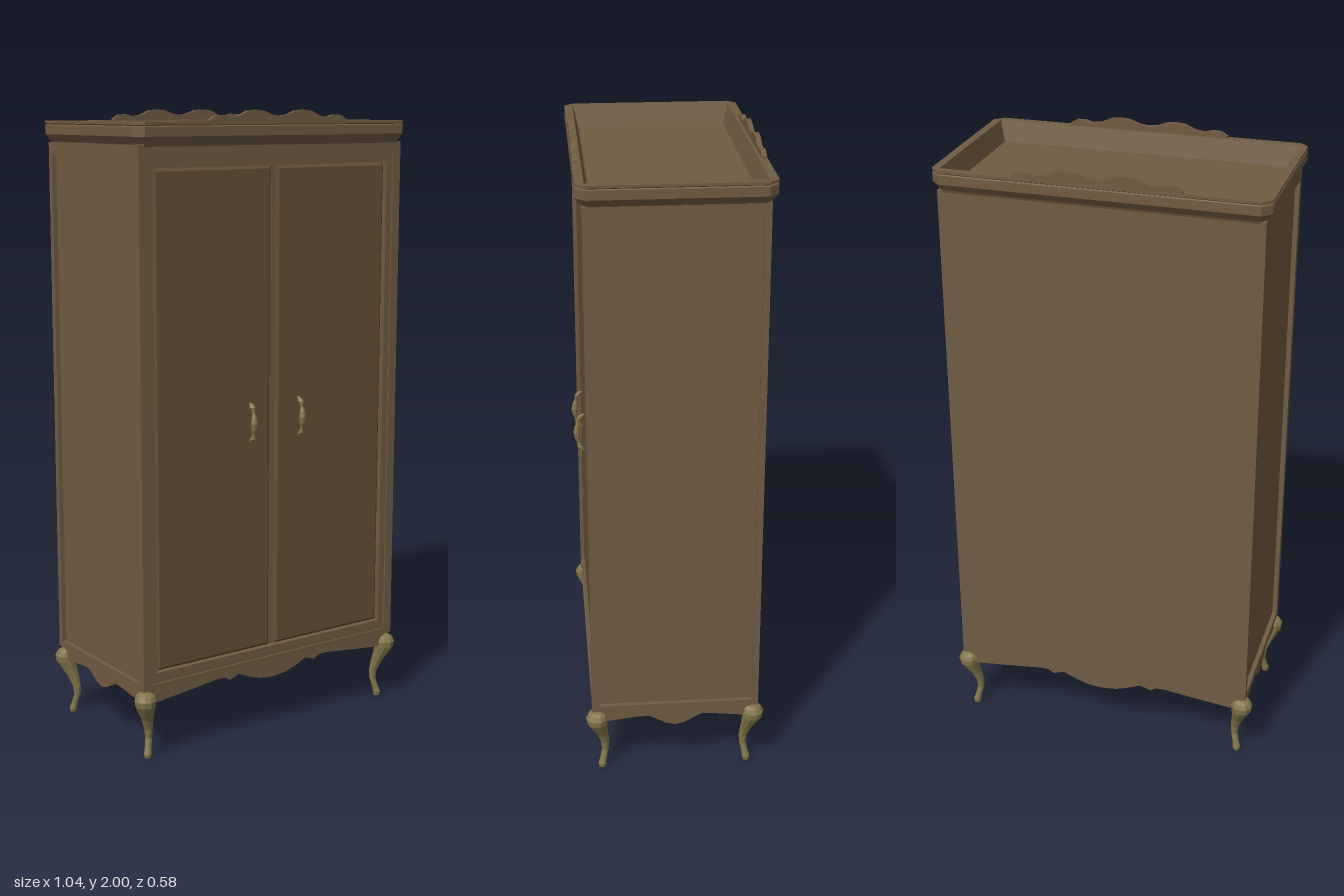
import * as THREE from 'three';

const mat = (color, extra = {}) => new THREE.MeshStandardMaterial({ color, flatShading: true, ...extra });
const wood = mat(0x705b42);
const doorWood = mat(0x645039);
const brass = mat(0x82754a);

function add(parent, name, geometry, material) {
  const mesh = new THREE.Mesh(geometry, material);
  mesh.name = name;
  parent.add(mesh);
  return mesh;
}

// Skin a list of rings; each ring runs from +x towards +z, rings go upwards
function loft(rings) {
  const n = rings[0].length, index = [];
  for (let i = 0; i < rings.length - 1; i++) {
    for (let j = 0; j < n; j++) {
      const a = i * n + j, b = i * n + (j + 1) % n;
      index.push(a, a + n, b, b, a + n, b + n);
    }
  }
  const g = new THREE.BufferGeometry();
  g.setAttribute('position', new THREE.Float32BufferAttribute(rings.flat(2), 3));
  g.setIndex(index);
  g.computeVertexNormals();
  return g;
}

// Round ring centred on (x, y, z)
function circle(x, y, z, r, sides = 8) {
  return Array.from({ length: sides }, (_, i) => {
    const t = (i + 0.5) / sides * Math.PI * 2;
    return [x + Math.cos(t) * r, y, z + Math.sin(t) * r];
  });
}

// Rectangle ring with cut corners
function cutRect(hx, hz, c, y) {
  return [[hx, -hz + c], [hx, hz - c], [hx - c, hz], [c - hx, hz],
    [-hx, hz - c], [-hx, c - hz], [c - hx, -hz], [hx - c, -hz]].map(([x, z]) => [x, y, z]);
}

function rectPoints(hw, y0, y1) {
  return [[-hw, y0], [hw, y0], [hw, y1], [-hw, y1]].map(p => new THREE.Vector2(...p));
}

// Flat rectangular frame in the xy plane, from z = 0 to depth
function frame(outer, inner, depth) {
  const s = new THREE.Shape(rectPoints(...outer));
  s.holes.push(new THREE.Path(rectPoints(...inner)));
  return new THREE.ExtrudeGeometry(s, { depth, bevelEnabled: false });
}

// Mirrored scalloped board: straight edge at yBase, half profile given from the centre outwards
function scallop(half, yBase, depth) {
  const end = half[half.length - 1][0];
  const left = half.slice(1).reverse().map(([x, y]) => [-x, y]);
  const pts = [[-end, yBase], ...left, ...half, [end, yBase]].map(p => new THREE.Vector2(...p));
  const g = new THREE.ExtrudeGeometry(new THREE.Shape(pts), { depth, bevelEnabled: false });
  return g.translate(0, 0, -depth / 2);
}

export function createModel() {
  const root = new THREE.Group();
  root.name = 'wardrobe';
  const body = new THREE.Group();
  body.name = 'wardrobeBody';
  body.position.z = -0.005;
  root.add(body);

  // Carcass, closed at the back
  add(body, 'carcass', new THREE.BoxGeometry(0.97, 1.67, 0.508).translate(0, 1.065, -0.014), wood);

  // Front frame with an inner stepped moulding
  add(body, 'frontFrame', frame([0.5, 0.23, 1.9], [0.47, 0.25, 1.86], 0.026), wood).position.z = 0.242;
  add(body, 'doorSurround', frame([0.475, 0.245, 1.865], [0.448, 0.282, 1.835], 0.024), wood).position.z = 0.238;
  add(body, 'backPanel', new THREE.BoxGeometry(1, 1.67, 0.01).translate(0, 1.065, -0.263), wood);

  // Aprons
  const longApron = [[0, 0.175], [0.05, 0.18], [0.09, 0.193], [0.135, 0.212], [0.155, 0.206],
    [0.172, 0.2], [0.19, 0.212], [0.22, 0.213], [0.33, 0.2], [0.475, 0.185]];
  const shortApron = [[0, 0.166], [0.03, 0.173], [0.06, 0.19], [0.085, 0.203], [0.12, 0.202], [0.24, 0.188]];

  // Crest on top of the cornice, front and back
  const crest = [[0, 1.982], [0.03, 1.986], [0.06, 1.997], [0.09, 2], [0.12, 1.997], [0.155, 1.982],
    [0.185, 1.978], [0.21, 1.985], [0.235, 1.984], [0.258, 1.972]];

  for (const s of [1, -1]) {
    const sideFrame = add(body, s > 0 ? 'leftSideFrame' : 'rightSideFrame',
      frame([0.268, 0.23, 1.9], [0.248, 0.25, 1.86], 0.016), wood);
    sideFrame.rotation.y = s * Math.PI / 2;
    sideFrame.position.x = s * 0.484;

    add(body, s > 0 ? 'frontApron' : 'backApron', scallop(longApron, 0.235, 0.016), wood).position.z = s * 0.255;
    const sideApron = add(body, s > 0 ? 'leftApron' : 'rightApron', scallop(shortApron, 0.235, 0.016), wood);
    sideApron.rotation.y = Math.PI / 2;
    sideApron.position.x = s * 0.487;

    add(body, s > 0 ? 'frontCrest' : 'backCrest', scallop(crest, 1.955, 0.016), wood).position.z = s * 0.277;
  }

  // Cornice: outer moulding, flat rim, then the sloped tray walls
  add(body, 'cornice', loft([
    cutRect(0.484, 0.255, 0.004, 1.885), cutRect(0.497, 0.268, 0.012, 1.895),
    cutRect(0.5, 0.271, 0.02, 1.902), cutRect(0.516, 0.287, 0.028, 1.924),
    cutRect(0.516, 0.287, 0.028, 1.952), cutRect(0.512, 0.283, 0.028, 1.955),
    cutRect(0.516, 0.287, 0.028, 1.958), cutRect(0.516, 0.287, 0.028, 1.966),
    cutRect(0.491, 0.26, 0.002, 1.966), cutRect(0.474, 0.243, 0.002, 1.897),
  ]), wood);

  // Doors with bevelled edges, and bowed handles
  const handleKnots = [[0.97, 0.002], [0.974, 0.008], [0.984, 0.01], [0.994, 0.006], [1.002, 0.005], [1.016, 0.009],
    [1.035, 0.012], [1.054, 0.009], [1.068, 0.005], [1.076, 0.006], [1.086, 0.01], [1.096, 0.008], [1.1, 0.002]];
  for (const s of [1, -1]) {
    const side = s > 0 ? 'left' : 'right';
    const shape = new THREE.Shape(rectPoints(0.207, 0.294, 1.823));
    const door = new THREE.ExtrudeGeometry(shape,
      { depth: 0.006, bevelSize: 0.009, bevelThickness: 0.007, bevelSegments: 1 });
    add(body, side + 'Door', door, doorWood).position.set(s * 0.227, 0, 0.243);

    const rings = handleKnots.map(([y, r]) => {
      const t = (y - 1.035) / 0.065;
      return circle(s * 0.095, y, 0.26 + 0.026 * Math.sqrt(Math.max(0, 1 - t * t)), r * 0.95);
    });
    add(body, side + 'Handle', loft(rings), brass);
  }

  // Cabriole legs: [height, outward offset along the diagonal, radius]
  const legKnots = [[0, 0, 0.001], [0, 0, 0.011], [0.012, 0, 0.013], [0.03, -0.004, 0.011], [0.06, -0.011, 0.011],
    [0.09, -0.01, 0.014], [0.125, -0.002, 0.019], [0.155, 0.008, 0.026], [0.18, 0.015, 0.033],
    [0.2, 0.016, 0.035], [0.214, 0.014, 0.03], [0.222, 0.012, 0.02], [0.224, 0.012, 0.001]];
  for (const sx of [1, -1]) {
    for (const sz of [1, -1]) {
      const name = (sz > 0 ? 'front' : 'back') + (sx > 0 ? 'Left' : 'Right') + 'Leg';
      const rings = legKnots.map(([y, o, r]) => circle(sx * (0.47 + o), y, sz * (0.237 + o), r, 10));
      add(body, name, loft(rings), brass);
    }
  }
  return root;
}
